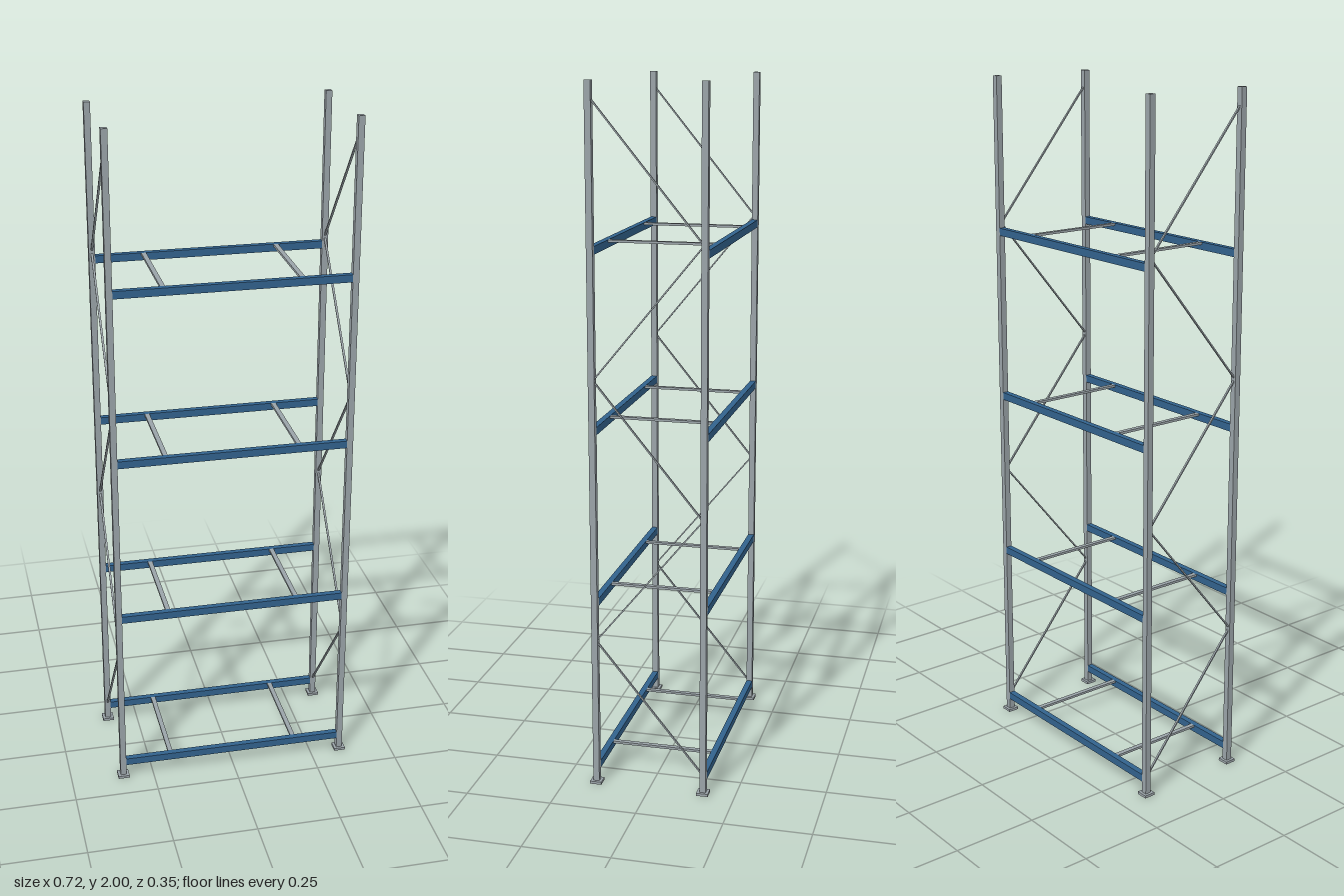
import * as THREE from 'three';

export function createModel() {
  const rack = new THREE.Group();
  rack.name = 'storageRack';
  const steel = new THREE.MeshStandardMaterial({ color: 0x9aa3a8 });
  steel.name = 'galvanised grey';
  const blue = new THREE.MeshStandardMaterial({ color: 0x32628d });
  blue.name = 'beam blue';

  const X = 0.342, Z = 0.158, POST = 0.018, PLATE_H = 0.008;

  const box = (parent, name, material, size, pos) => {
    const mesh = new THREE.Mesh(new THREE.BoxGeometry(...size), material);
    mesh.name = name;
    mesh.position.set(...pos);
    parent.add(mesh);
    return mesh;
  };

  // End frames: two posts on base plates, joined by zigzag braces
  for (const side of [-1, 1]) {
    const frame = new THREE.Group();
    frame.name = side > 0 ? 'leftFrame' : 'rightFrame';
    rack.add(frame);
    for (const end of [-1, 1]) {
      box(frame, 'basePlate', steel, [0.034, PLATE_H, 0.034], [side * X, PLATE_H / 2, end * Z]);
      box(frame, 'post', steel, [POST, 2 - PLATE_H, POST], [side * X, 1 + PLATE_H / 2, end * Z]);
    }
    // Braces alternate between the back and front posts
    const step = 0.379, reach = 0.155;
    for (let i = 0; i < 5; i++) {
      const dz = (i % 2 ? -2 : 2) * reach;
      const brace = box(frame, 'brace', steel, [0.006, 0.004, Math.hypot(dz, step)],
        [side * X, 0.06 + (i + 0.5) * step, 0]);
      brace.rotation.x = -Math.atan2(step, dz);
    }
  }

  // Shelf levels: front and back beams with two cross bars
  for (let i = 0; i < 4; i++) {
    const level = new THREE.Group();
    level.name = 'shelfLevel' + (i + 1);
    level.position.y = 0.0525 + i * 0.5;
    rack.add(level);
    for (const s of [-1, 1]) {
      box(level, s > 0 ? 'frontBeam' : 'backBeam', blue, [2 * X - POST, 0.022, POST], [0, 0, s * Z]);
      box(level, 'crossBar', steel, [0.014, 0.007, 2 * Z - POST], [s * 0.194, 0.0075, 0]);
    }
  }
  return rack;
}
